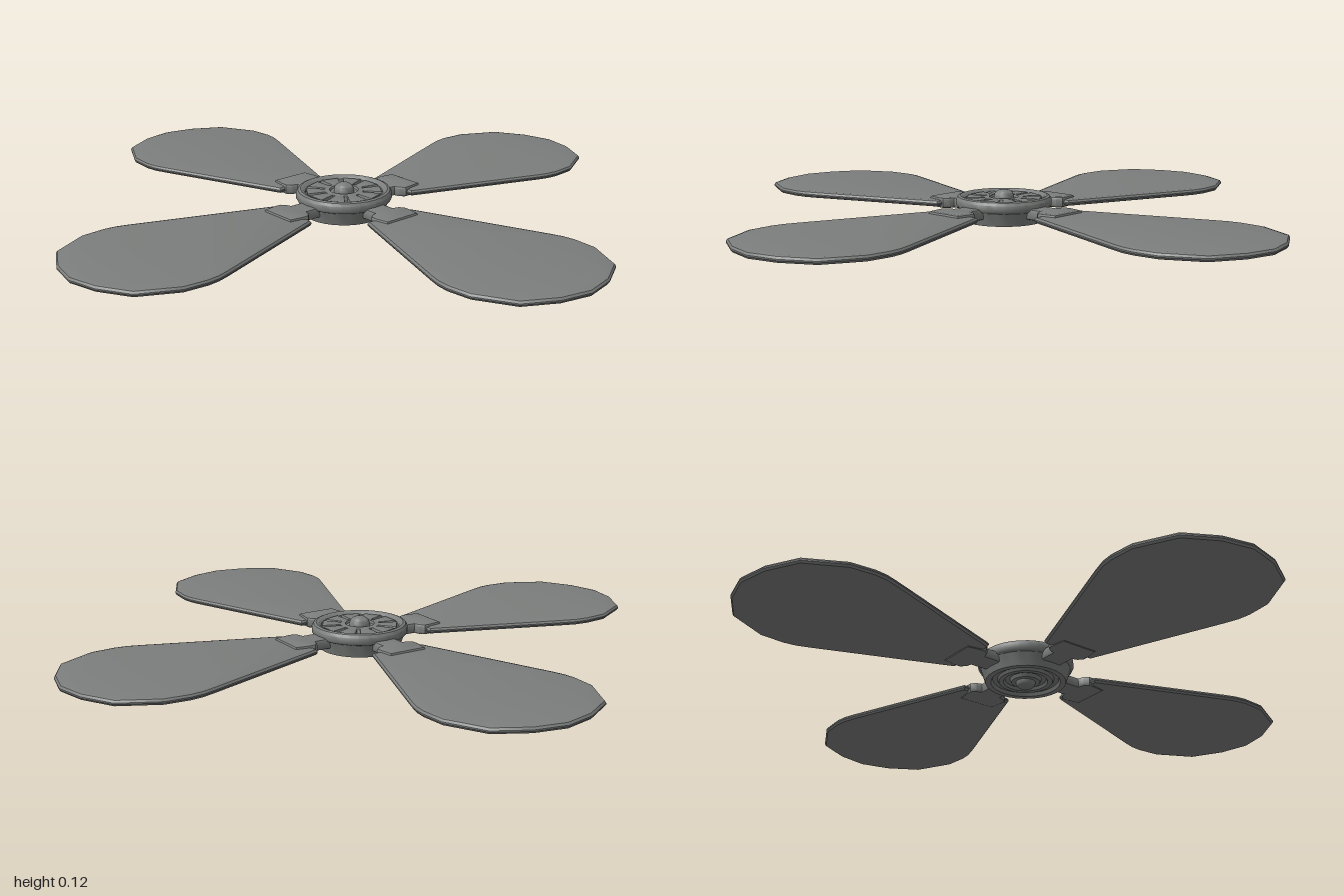
import * as THREE from 'three';
import { toCreasedNormals } from 'three/addons/utils/BufferGeometryUtils.js';

const darkGrey = new THREE.MeshStandardMaterial({ color: 0x7b7e7c });

function part(name, geometry) {
  const mesh = new THREE.Mesh(toCreasedNormals(geometry, 0.6), darkGrey);
  mesh.name = name;
  return mesh;
}

// Symmetric plate from a half outline of [half width, distance from the axis],
// lying flat between y0 and y1 with bevelled edges and pointing towards -z.
function plate(name, half, y0, y1, bevel, bevelHeight) {
  const mirrored = half.filter(p => p[0] > 0).reverse().map(([x, r]) => [-x, r]);
  const outline = [...half, ...mirrored].map(p => new THREE.Vector2(...p));
  const geometry = new THREE.ExtrudeGeometry(new THREE.Shape(outline), {
    depth: y1 - y0 - 2 * bevelHeight,
    bevelSize: bevel, bevelOffset: -bevel, bevelThickness: bevelHeight, bevelSegments: 2
  });
  geometry.rotateX(-Math.PI / 2).translate(0, y0 + bevelHeight, 0);
  return part(name, geometry);
}

function lathe(name, profile, segments = 32) {
  return part(name, new THREE.LatheGeometry(profile.map(p => new THREE.Vector2(...p)), segments));
}

export function createModel() {
  const model = new THREE.Group();
  model.name = 'fanRotor';

  // Hub: grooved underside, conical side, rounded rim and dished top
  model.add(lathe('hub', [
    [0, 0.022], [0.045, 0.022], [0.05, 0.033], [0.065, 0.033], [0.07, 0.024],
    [0.085, 0.024], [0.09, 0.033], [0.105, 0.033], [0.11, 0.022], [0.128, 0.022],
    [0.142, 0.064], [0.148, 0.067], [0.152, 0.074], [0.152, 0.09],
    [0.146, 0.099], [0.138, 0.102], [0.128, 0.099], [0.122, 0.092], [0.122, 0.08],
    [0.066, 0.08], [0.062, 0.095], [0.046, 0.097], [0.043, 0.09], [0, 0.09]
  ]));

  // Rounded caps on the axis, above and below
  const topCap = lathe('topCap', [
    [0.032, 0.085], [0.032, 0.1], [0.028, 0.11], [0.018, 0.117], [0, 0.12]
  ], 20);
  const bottomCap = lathe('bottomCap', [
    [0, 0], [0.018, 0.003], [0.027, 0.009], [0.031, 0.018], [0.031, 0.03]
  ], 20);
  model.add(topCap, bottomCap);

  // Ring of raised wedges in the dished top
  const wedges = new THREE.Group();
  wedges.name = 'hubWedges';
  const wedgeCount = 10;
  for (let i = 0; i < wedgeCount; i++) {
    const wedge = plate('hubWedge', [[0.015, 0.06], [0.03, 0.118]], 0.076, 0.096, 0.004, 0.004);
    wedge.rotation.y = (i + 0.5) / wedgeCount * Math.PI * 2;
    wedges.add(wedge);
  }
  model.add(wedges);

  // Four thin-edged blades, each held by a necked bracket
  const bladeOutline = [
    [0.09, 0.21], [0.25, 0.64], [0.263, 0.68], [0.268, 0.72], [0.262, 0.8],
    [0.2, 0.92], [0.1, 0.976], [0, 0.998]
  ];
  const bracketOutline = [
    [0.038, 0.12], [0.038, 0.185], [0.055, 0.19], [0.07, 0.205], [0.07, 0.225], [0.063, 0.27]
  ];
  for (let i = 0; i < 4; i++) {
    const arm = new THREE.Group();
    arm.name = 'bladeArm';
    arm.add(
      plate('blade', bladeOutline, 0.047, 0.069, 0.016, 0.009),
      plate('bracket', bracketOutline, 0.042, 0.077, 0.008, 0.008)
    );
    arm.rotation.y = i * Math.PI / 2;
    model.add(arm);
  }
  return model;
}
